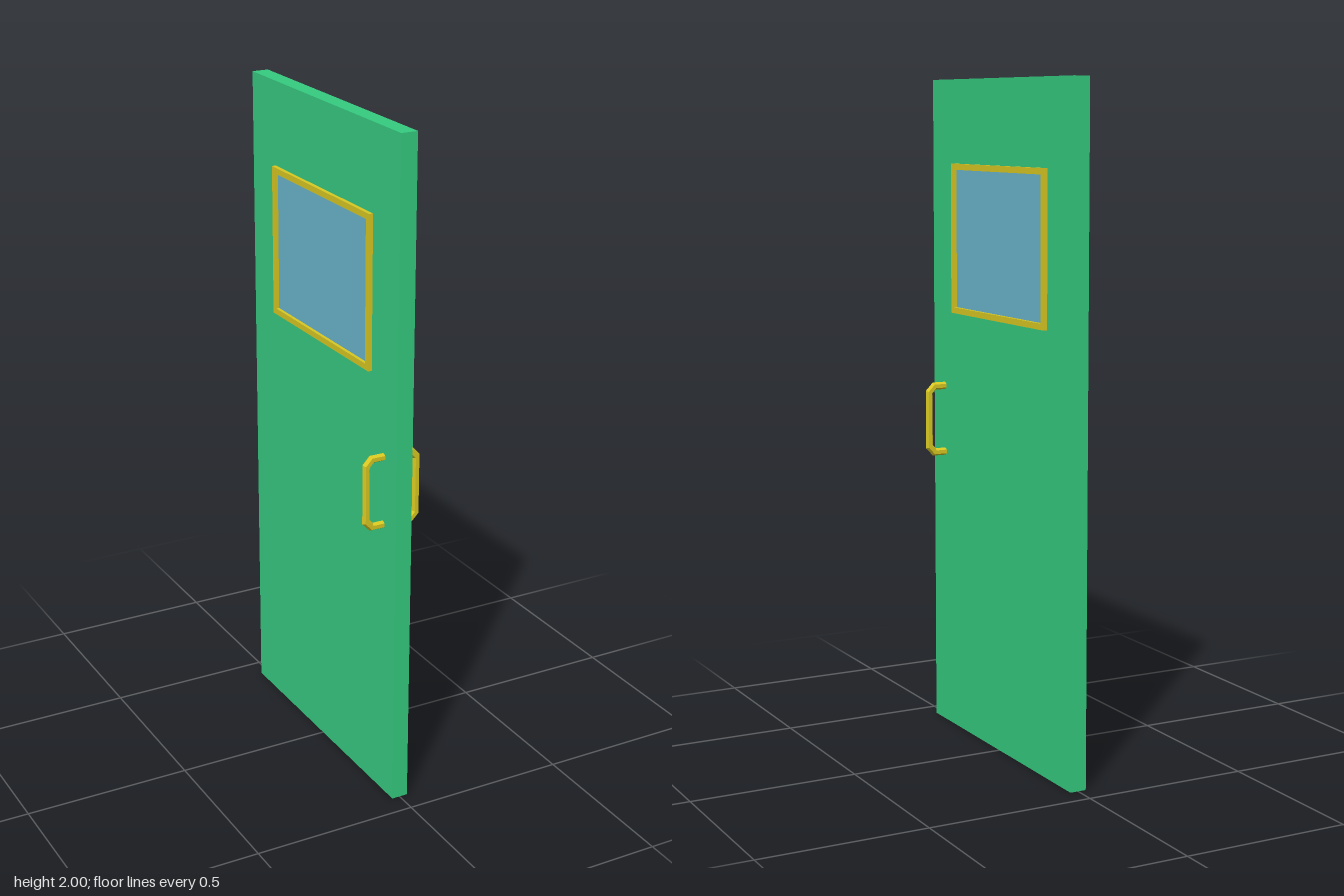
import * as THREE from 'three';

const paint = (name, color) => {
  const m = new THREE.MeshStandardMaterial({ color });
  m.name = name;
  return m;
};

// Sweep a hexagon along a path in the xy plane, with mitred corners and flat faces
function hexBar(path, radius) {
  const sides = 6, pos = [], index = [];
  const dir = (a, b) => new THREE.Vector2().subVectors(b, a).normalize();
  path.forEach((p, i) => {
    const before = dir(path[Math.max(i - 1, 0)], path[Math.max(i, 1)]);
    const after = i < path.length - 1 ? dir(p, path[i + 1]) : before;
    const tangent = before.clone().add(after).normalize();
    const stretch = radius / tangent.dot(before);
    for (let k = 0; k < sides; k++) {
      const a = (k / sides) * Math.PI * 2;
      const n = Math.cos(a) * stretch;
      pos.push(p.x - tangent.y * n, p.y + tangent.x * n, Math.sin(a) * radius);
    }
  });
  for (let i = 0; i < path.length - 1; i++) {
    for (let k = 0; k < sides; k++) {
      const a = i * sides + k, b = i * sides + ((k + 1) % sides);
      index.push(a, b, a + sides, b, b + sides, a + sides);
    }
  }
  const indexed = new THREE.BufferGeometry();
  indexed.setAttribute('position', new THREE.Float32BufferAttribute(pos, 3));
  indexed.setIndex(index);
  const geo = indexed.toNonIndexed();
  geo.computeVertexNormals();
  return geo;
}

export function createModel() {
  const model = new THREE.Group();
  model.name = 'door';
  const green = paint('green paint', 0x36cb80);
  const brass = paint('yellow metal', 0xd8c822);
  const glass = paint('blue glass', 0x6bb5cd);

  const add = (name, geo, mat, x, y, z) => {
    const mesh = new THREE.Mesh(geo, mat);
    mesh.name = name;
    mesh.position.set(x, y, z);
    model.add(mesh);
    return mesh;
  };

  // Door slab
  add('doorPanel', new THREE.BoxGeometry(0.05, 2, 0.866), green, 0, 1, 0);

  // Window trim: a rectangular ring, extruded across the door thickness
  const w = 0.289, h = 0.225, t = 0.018;
  const rect = (Type, a, b) => new Type([[-a, -b], [a, -b], [a, b], [-a, b]]
    .map(([x, y]) => new THREE.Vector2(x, y)));
  const ring = rect(THREE.Shape, w, h);
  ring.holes.push(rect(THREE.Path, w - t, h - t));
  const trim = new THREE.ExtrudeGeometry(ring, { depth: 0.012, bevelEnabled: false });

  // Handle path, relative to the handle's centre height
  const path = [[0.02, 0.103], [0.063, 0.103], [0.08, 0.085],
    [0.08, -0.085], [0.063, -0.103], [0.02, -0.103]]
    .map(([x, y]) => new THREE.Vector2(x, y));
  const bar = hexBar(path, 0.0115);

  for (const side of [1, -1]) {
    const label = side > 0 ? 'left' : 'right';
    add(label + 'WindowFrame', trim, brass, side * 0.025, 1.525, 0).rotation.y = side * Math.PI / 2;
    add(label + 'WindowPane', new THREE.BoxGeometry(0.004, 2 * (h - t), 2 * (w - t)), glass,
      side * 0.025, 1.525, 0);
    add(label + 'Handle', bar, brass, 0, 0.965, 0.359).rotation.z = side > 0 ? 0 : Math.PI;
  }
  return model;
}
